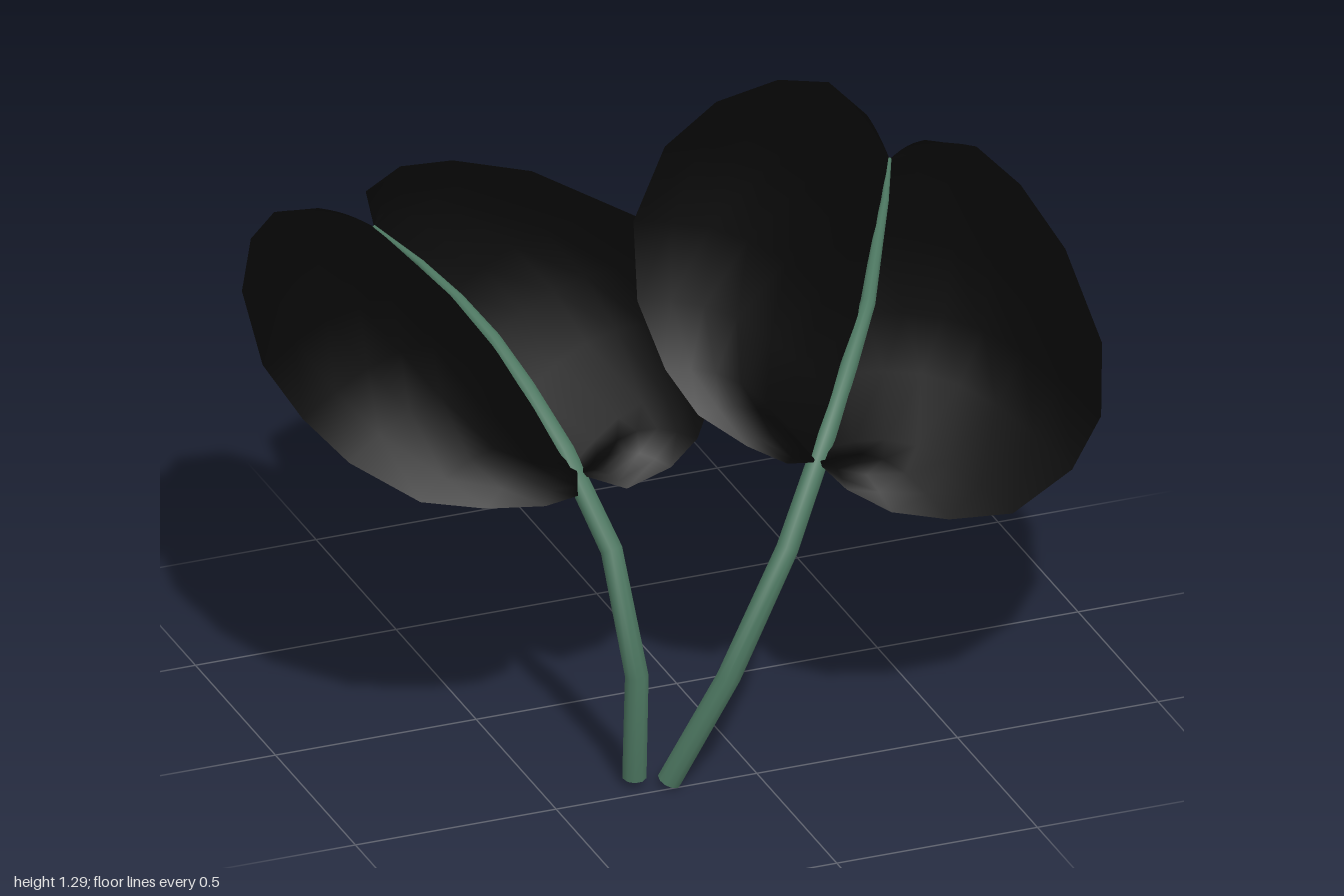
import * as THREE from 'three';

const leafMat = new THREE.MeshStandardMaterial({ color: 0x050505, side: THREE.DoubleSide });
const stemMat = new THREE.MeshStandardMaterial({ color: 0x4c7660 });
const vectors = (pts) => pts.map((p) => new THREE.Vector3(...p));

// Tapered tube with one ring of vertices per joint of the path
function stemMesh(curve, joints) {
  const segments = joints - 1, sides = 10;
  curve.getPointAt = curve.getPoint;
  curve.getTangentAt = curve.getTangent;
  const geo = new THREE.TubeGeometry(curve, segments, 1, sides, false);
  const pos = geo.attributes.position, v = new THREE.Vector3();
  for (let i = 0; i < pos.count; i++) {
    const t = Math.floor(i / (sides + 1)) / segments;
    const centre = curve.getPoint(t);
    v.fromBufferAttribute(pos, i).sub(centre);
    v.multiplyScalar(0.029 * (1 - 0.85 * t ** 1.8)).add(centre);
    pos.setXYZ(i, v.x, v.y, v.z);
  }
  const mesh = new THREE.Mesh(geo, stemMat);
  mesh.name = 'stem';
  return mesh;
}

// Flat cap closing the foot of a stem
function stemFoot(curve) {
  const foot = new THREE.Mesh(new THREE.CircleGeometry(0.029, 10), stemMat);
  foot.position.copy(curve.getPoint(0));
  foot.lookAt(foot.position.clone().sub(curve.getTangent(0)));
  foot.name = 'stemFoot';
  return foot;
}

// Half a leaf: a sheet from the midrib out to its rim, domed most towards the base
function lobeMesh(curve, start, rimPoints, dome, name) {
  const tip = curve.getPoint(1), base = curve.getPoint(start);
  const axis = tip.clone().sub(base);
  const rim = [tip, ...vectors(rimPoints), base];
  const steps = 6, positions = [], index = [];
  rim.forEach((edge, i) => {
    const along = edge.clone().sub(base).dot(axis) / axis.lengthSq();
    const s = THREE.MathUtils.clamp(along, 0, 1);
    const rib = curve.getPoint(start + (1 - start) * s);
    const lift = dome * Math.sin(Math.PI * (i / (rim.length - 1)) ** 1.4);
    for (let j = 0; j <= steps; j++) {
      const u = j / steps;
      const p = rib.clone().lerp(edge, u);
      p.y += lift * Math.sin(Math.PI * u);
      positions.push(p.x, p.y, p.z);
      if (i && j) {
        const d = i * (steps + 1) + j, b = d - steps - 1;
        index.push(b - 1, b, d, b - 1, d, d - 1);
      }
    }
  });
  const geo = new THREE.BufferGeometry();
  geo.setAttribute('position', new THREE.Float32BufferAttribute(positions, 3));
  geo.setIndex(index);
  geo.computeVertexNormals();
  const mesh = new THREE.Mesh(geo, leafMat);
  mesh.name = name;
  return mesh;
}

function plant(name, path, start, inner, outer) {
  const group = new THREE.Group();
  group.name = name;
  const curve = new THREE.CatmullRomCurve3(vectors(path));
  group.add(
    stemMesh(curve, path.length),
    stemFoot(curve),
    lobeMesh(curve, start, inner.rim, inner.dome, 'innerLobe'),
    lobeMesh(curve, start, outer.rim, outer.dome, 'outerLobe'),
  );
  return group;
}

export function createModel() {
  const model = new THREE.Group();
  model.name = 'twoLeafPlant';

  // Taller leaf; rims run from tip to base
  model.add(plant('leftLeaf',
    [[-0.21, 0.01, 0.48], [-0.1, 0.3, 0.575], [0.05, 0.6, 0.565], [0.2, 0.8, 0.43],
      [0.3, 0.91, 0.32], [0.4, 0.995, 0.19], [0.5, 1.05, 0], [0.57, 1.08, -0.13],
      [0.65, 1.095, -0.3]], 2.75 / 8,
    { dome: 0.085, rim: [[0.645, 1.15, -0.43], [0.57, 1.225, -0.48], [0.44, 1.26, -0.47],
      [0.25, 1.28, -0.38], [0.05, 1.285, -0.2], [-0.12, 1.23, 0.03], [-0.19, 1.13, 0.23],
      [-0.18, 1.02, 0.38], [-0.13, 0.93, 0.46], [-0.04, 0.87, 0.54], [0.05, 0.82, 0.565]] },
    { dome: 0.095, rim: [[0.77, 1.085, -0.38], [0.89, 1.055, -0.36], [0.96, 0.99, -0.26],
      [1, 0.9, -0.08], [0.98, 0.79, 0.2], [0.89, 0.72, 0.42], [0.77, 0.66, 0.54],
      [0.58, 0.63, 0.645], [0.41, 0.66, 0.675], [0.27, 0.7, 0.665], [0.18, 0.75, 0.61]] }));

  // Lower leaf
  model.add(plant('rightLeaf',
    [[-0.285, 0.02, 0.45], [-0.295, 0.3, 0.49], [-0.33, 0.6, 0.42], [-0.375, 0.78, 0.24],
      [-0.41, 0.88, 0.09], [-0.44, 0.95, -0.04], [-0.475, 1.0, -0.17], [-0.51, 1.03, -0.32],
      [-0.555, 1.05, -0.5]], 2.75 / 8,
    { dome: 0.075, rim: [[-0.52, 1.07, -0.64], [-0.42, 1.1, -0.675], [-0.3, 1.105, -0.65],
      [-0.15, 1.105, -0.53], [0.02, 1.06, -0.31], [0.06, 0.99, -0.14], [0.06, 0.92, 0.03],
      [0, 0.84, 0.22], [-0.08, 0.8, 0.33], [-0.17, 0.77, 0.39], [-0.28, 0.735, 0.39]] },
    { dome: 0.085, rim: [[-0.65, 1.065, -0.61], [-0.76, 1.075, -0.61], [-0.85, 1.06, -0.53],
      [-0.94, 1.02, -0.36], [-1, 0.97, -0.08], [-0.98, 0.92, 0.12], [-0.92, 0.86, 0.26],
      [-0.79, 0.79, 0.38], [-0.65, 0.775, 0.44], [-0.51, 0.765, 0.46], [-0.41, 0.75, 0.41]] }));

  return model;
}
